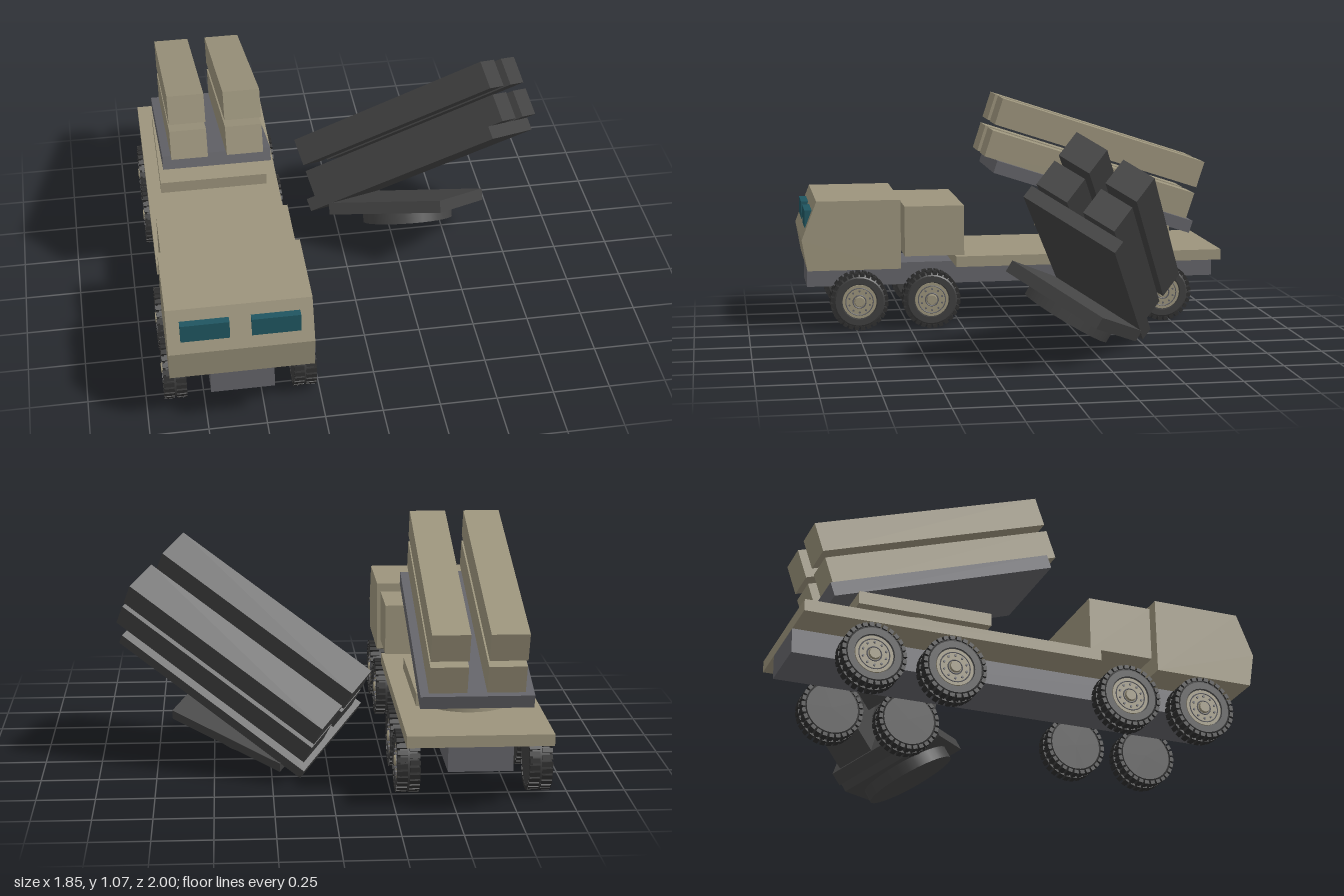
import * as THREE from 'three';
import { mergeGeometries } from 'three/addons/utils/BufferGeometryUtils.js';

const paint = (name, color) => {
  const m = new THREE.MeshStandardMaterial({ color });
  m.name = name;
  return m;
};

export function createModel() {
  const tan = paint('tan paint', 0x9c947c);
  const grey = paint('frame grey', 0x646469);
  const dark = paint('dark grey', 0x444444);
  const rubber = paint('tyre rubber', 0x3e3e3e);
  const tread = paint('tread rubber', 0x2e2e2e);
  const glass = paint('teal glass', 0x1f5560);

  const model = new THREE.Group();
  model.name = 'launcherTruckWithSpareLauncher';

  const add = (parent, name, geo, mat, x = 0, y = 0, z = 0) => {
    const mesh = new THREE.Mesh(geo, mat);
    mesh.name = name;
    mesh.position.set(x, y, z);
    parent.add(mesh);
    return mesh;
  };
  // box given by its extents on each axis
  const span = (parent, name, mat, [x0, x1], [y0, y1], [z0, z1]) =>
    add(parent, name, new THREE.BoxGeometry(x1 - x0, y1 - y0, z1 - z0), mat,
      (x0 + x1) / 2, (y0 + y1) / 2, (z0 + z1) / 2);

  // ---- truck body, centred on its own x = 0 ----
  const truck = new THREE.Group();
  truck.name = 'truck';
  truck.position.x = -0.595;
  model.add(truck);

  span(truck, 'chassis', grey, [-0.135, 0.135], [0.18, 0.285], [-1, 0.97]);
  span(truck, 'deck', tan, [-0.305, 0.305], [0.285, 0.335], [-1, 0.28]);
  span(truck, 'engineBox', tan, [-0.29, 0.29], [0.34, 0.575], [0.24, 0.52]);

  // cab: side profile (z, y) extruded across the width
  const profile = new THREE.Shape([
    [0.54, 0.285], [0.975, 0.285], [1, 0.43], [0.93, 0.61], [0.54, 0.61],
  ].map(([z, y]) => new THREE.Vector2(z, y)));
  const cabGeo = new THREE.ExtrudeGeometry(profile, { depth: 0.61, bevelEnabled: false });
  cabGeo.translate(0, 0, -0.305).rotateY(-Math.PI / 2);
  add(truck, 'cab', cabGeo, tan);
  for (const s of [-1, 1]) {
    add(truck, 'windscreen', new THREE.BoxGeometry(0.205, 0.083, 0.037), glass, s * 0.148, 0.521, 0.964);
  }

  // ---- wheels, axis along y with the outer face at +y ----
  const tyreGeo = new THREE.LatheGeometry([
    [0, -0.046], [0.112, -0.046], [0.112, -0.046], [0.126, -0.036], [0.126, -0.036],
    [0.126, 0.036], [0.126, 0.036], [0.112, 0.046], [0.112, 0.046], [0.084, 0.046],
    [0.084, 0.046], [0.08, 0.034], [0, 0.034],
  ].map(([r, y]) => new THREE.Vector2(r, y)), 32);
  const blocks = [];
  const count = 28;
  for (let i = 0; i < count; i++) {
    for (const s of [-1, 1]) {
      const b = new THREE.BoxGeometry(0.016, 0.044, 0.02);
      b.translate(0.1265, s * 0.0265, 0).rotateY(((i + (s > 0 ? 0.5 : 0)) / count) * Math.PI * 2);
      blocks.push(b);
    }
  }
  const treadGeo = mergeGeometries(blocks);
  const bolts = [];
  for (let i = 0; i < 10; i++) {
    bolts.push(new THREE.CylinderGeometry(0.005, 0.005, 0.006, 6)
      .translate(0.05, 0.045, 0).rotateY((i / 10) * Math.PI * 2));
  }
  const boltGeo = mergeGeometries(bolts);
  const ringGeo = new THREE.TorusGeometry(0.064, 0.0025, 6, 32).rotateX(Math.PI / 2);
  const hubGeo = new THREE.CylinderGeometry(0.079, 0.079, 0.01, 32);
  const capGeo = new THREE.CylinderGeometry(0.022, 0.026, 0.012, 16);
  const capRingGeo = new THREE.TorusGeometry(0.03, 0.003, 6, 24).rotateX(Math.PI / 2);

  for (const s of [-1, 1]) {
    for (const z of [0.737, 0.398, -0.373, -0.713]) {
      const wheel = new THREE.Group();
      wheel.name = s > 0 ? 'leftWheel' : 'rightWheel';
      wheel.position.set(s * 0.279, 0.137, z);
      wheel.rotation.z = -s * Math.PI / 2;
      add(wheel, 'tyre', tyreGeo, rubber);
      add(wheel, 'treadBlocks', treadGeo, tread);
      add(wheel, 'hub', hubGeo, tan, 0, 0.037);
      add(wheel, 'hubRing', ringGeo, grey, 0, 0.042);
      add(wheel, 'hubBolts', boltGeo, grey);
      add(wheel, 'capRing', capRingGeo, grey, 0, 0.042);
      add(wheel, 'hubCap', capGeo, tan, 0, 0.046);
      truck.add(wheel);
    }
  }

  // ---- launcher: origin at the middle of the tray top, tubes along +z ----
  const tilt = THREE.MathUtils.degToRad(18.1);
  const launcher = (name, bodyMat, trayMat) => {
    const g = new THREE.Group();
    g.name = name;
    add(g, 'tray', new THREE.BoxGeometry(0.477, 0.06, 1), trayMat, 0, -0.03, 0);
    for (const x of [-0.1215, 0.1215]) {
      for (const y of [0.064, 0.222]) {
        add(g, 'launchTube', new THREE.BoxGeometry(0.16, 0.128, 1.033), bodyMat, x, y, 0.042);
      }
    }
    // base plate and turntable, tipped back against the tray
    const base = new THREE.Group();
    base.name = 'base';
    base.rotation.x = tilt;
    add(base, 'basePlate', new THREE.BoxGeometry(0.49, 0.055, 0.572), bodyMat, 0, -0.2025, -0.07);
    add(base, 'turntable', new THREE.CylinderGeometry(0.21, 0.21, 0.055, 32), bodyMat, 0, -0.2575, -0.07);
    g.add(base);
    model.add(g);
    return g;
  };

  const mounted = launcher('mountedLauncher', tan, grey);
  mounted.position.set(-0.595, 0.62, -0.402);
  mounted.rotation.x = -tilt;

  // loose launcher lying tipped over beside the truck
  const loose = launcher('looseLauncher', dark, dark);
  const zAxis = new THREE.Vector3(0.785, 0.539, 0.305).normalize();
  const xAxis = new THREE.Vector3(-0.247, 0.724, -0.641).cross(zAxis).normalize();
  const yAxis = zAxis.clone().cross(xAxis);
  loose.quaternion.setFromRotationMatrix(new THREE.Matrix4().makeBasis(xAxis, yAxis, zAxis));
  loose.position.set(0.37, 0.414, -0.242);

  return model;
}
